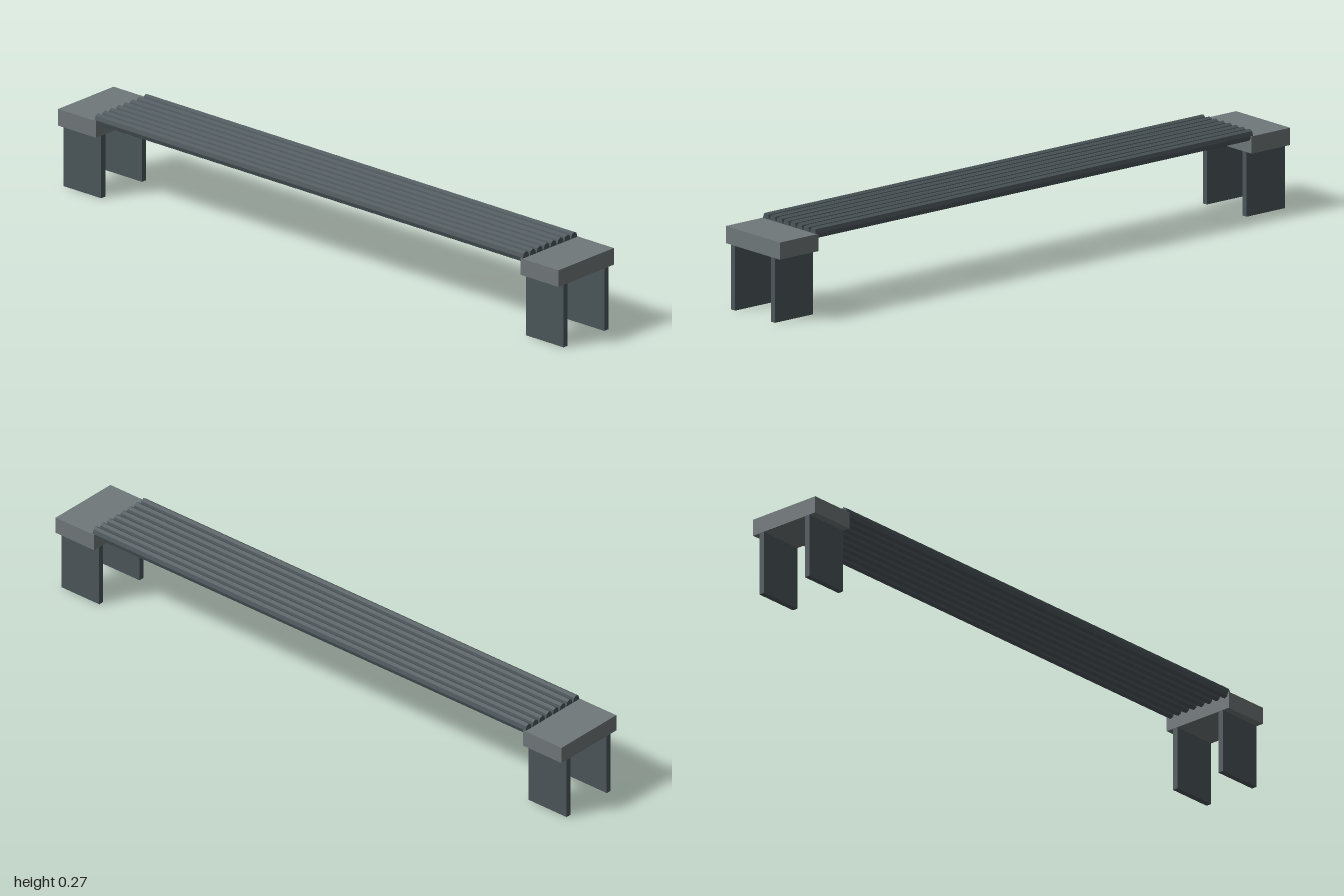
import * as THREE from 'three';

const slabMat = new THREE.MeshStandardMaterial({ color: 0x70787a });
const darkMat = new THREE.MeshStandardMaterial({ color: 0x4c565a });
const railMat = new THREE.MeshStandardMaterial({ color: 0x4c565a, flatShading: true });

function box(name, mat, w, h, d, x, y, z) {
  const mesh = new THREE.Mesh(new THREE.BoxGeometry(w, h, d), mat);
  mesh.name = name;
  mesh.position.set(x, y, z);
  return mesh;
}

export function createModel() {
  const model = new THREE.Group();
  model.name = 'bench';

  // End supports: a slab on two upright plates that run up into it
  for (const side of [1, -1]) {
    const support = new THREE.Group();
    support.name = side > 0 ? 'leftSupport' : 'rightSupport';
    support.add(box('endSlab', slabMat, 0.152, 0.053, 0.248, side * 0.924, 0.2265, 0));
    for (const z of [0.091, -0.091]) {
      support.add(box(z > 0 ? 'frontLeg' : 'backLeg', darkMat, 0.15, 0.236, 0.018, side * 0.924, 0.118, z));
    }
    model.add(support);
  }

  // Seat: eight slightly flattened octagonal rails, a vertex on top
  const seat = new THREE.Group();
  seat.name = 'seat';
  const railGeometry = new THREE.CylinderGeometry(1, 1, 1.712, 8);
  railGeometry.rotateZ(Math.PI / 2);
  railGeometry.scale(1, 0.0182, 0.0137);
  for (let i = 0; i < 8; i++) {
    const rail = new THREE.Mesh(railGeometry, railMat);
    rail.name = 'seatRail';
    rail.position.set(0, 0.254, (i - 3.5) * 0.0308);
    seat.add(rail);
  }
  model.add(seat);
  return model;
}
